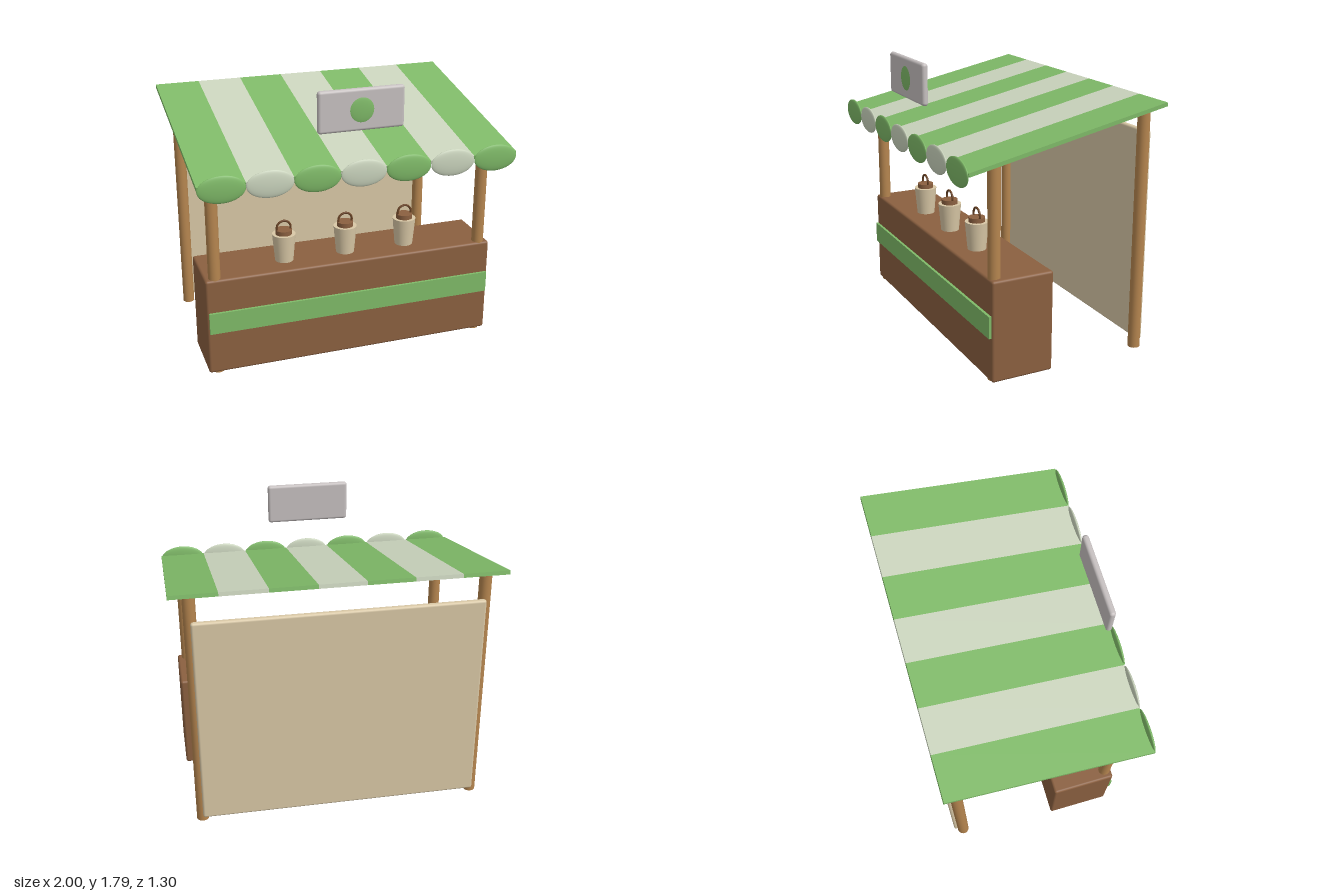
import * as THREE from 'three';
import { RoundedBoxGeometry } from 'three/addons/geometries/RoundedBoxGeometry.js';

export function createModel() {
  const stall = new THREE.Group();
  stall.name = 'marketStall';

  const material = (name, color) => {
    const m = new THREE.MeshStandardMaterial({ color });
    m.name = name;
    return m;
  };
  const postWood = material('light wood', 0xb5854f);
  const counterWood = material('brown wood', 0x8b6040);
  const handleBrown = material('dark brown', 0x6b4426);
  const green = material('green', 0x7fba68);
  const pale = material('pale green white', 0xcad4bd);
  const cream = material('cream', 0xd9c8a6);
  const signGrey = material('sign grey', 0xc6c0c0);

  const add = (name, geometry, mat, x, y, z, parent = stall) => {
    const mesh = new THREE.Mesh(geometry, mat);
    mesh.name = name;
    mesh.position.set(x, y, z);
    parent.add(mesh);
    return mesh;
  };

  // Counter with its front band
  add('counter', new RoundedBoxGeometry(1.89, 0.635, 0.4, 3, 0.016), counterWood, 0, 0.3225, 0.262);
  add('counterBand', new THREE.BoxGeometry(1.864, 0.138, 0.03), green, 0, 0.356, 0.464);

  // Four round posts, taller at the back
  for (const side of [-1, 1]) {
    add('frontPost', new THREE.CylinderGeometry(0.038, 0.038, 1.31, 24), postWood, side * 0.88, 0.655, 0.42);
    add('backPost', new THREE.CylinderGeometry(0.038, 0.038, 1.545, 24), postWood, side * 0.88, 0.7725, -0.57);
  }

  // Back wall
  add('backPanel', new RoundedBoxGeometry(1.76, 1.355, 0.04, 3, 0.015), cream, 0, 0.7125, -0.61);

  // Sloping striped awning, one scallop at the front of each stripe
  const stripes = 7;
  const width = 2 / stripes;
  const awning = new THREE.Group();
  awning.name = 'awning';
  awning.position.set(0, 1.437, -0.01);
  awning.rotation.x = Math.atan2(0.268, 1.28);
  stall.add(awning);
  for (let i = 0; i < stripes; i++) {
    const x = -1 + width * (i + 0.5);
    const mat = i % 2 ? pale : green;
    add('awningStripe', new THREE.BoxGeometry(width, 0.024, 1.305), mat, x, 0, 0, awning);
    const scallop = add('awningScallop', new THREE.SphereGeometry(1, 32, 20), mat, x, 1.289, 0.634);
    scallop.scale.set(width / 2, 0.084, 0.017);
  }

  // Sign with a domed emblem
  add('signBoard', new RoundedBoxGeometry(0.536, 0.255, 0.04, 4, 0.018), signGrey, 0, 1.66, 0.565);
  add('signEmblem', new THREE.SphereGeometry(1, 32, 20), green, 0, 1.66, 0.58).scale.set(0.082, 0.082, 0.012);

  // Lidded jars with ring handles
  for (const x of [-0.405, 0, 0.405]) {
    const jar = new THREE.Group();
    jar.name = 'jar';
    jar.position.set(x, 0.638, 0.3);
    stall.add(jar);
    add('jarBody', new THREE.CylinderGeometry(0.074, 0.058, 0.18, 28), cream, 0, 0.09, 0, jar);
    add('jarLid', new THREE.CylinderGeometry(0.052, 0.052, 0.03, 28), counterWood, 0, 0.194, 0, jar);
    const handle = add('jarHandle', new THREE.TorusGeometry(0.045, 0.007, 10, 32, Math.PI + 0.8), handleBrown, 0, 0.22, 0, jar);
    handle.rotation.z = -0.4;
  }

  return stall;
}
